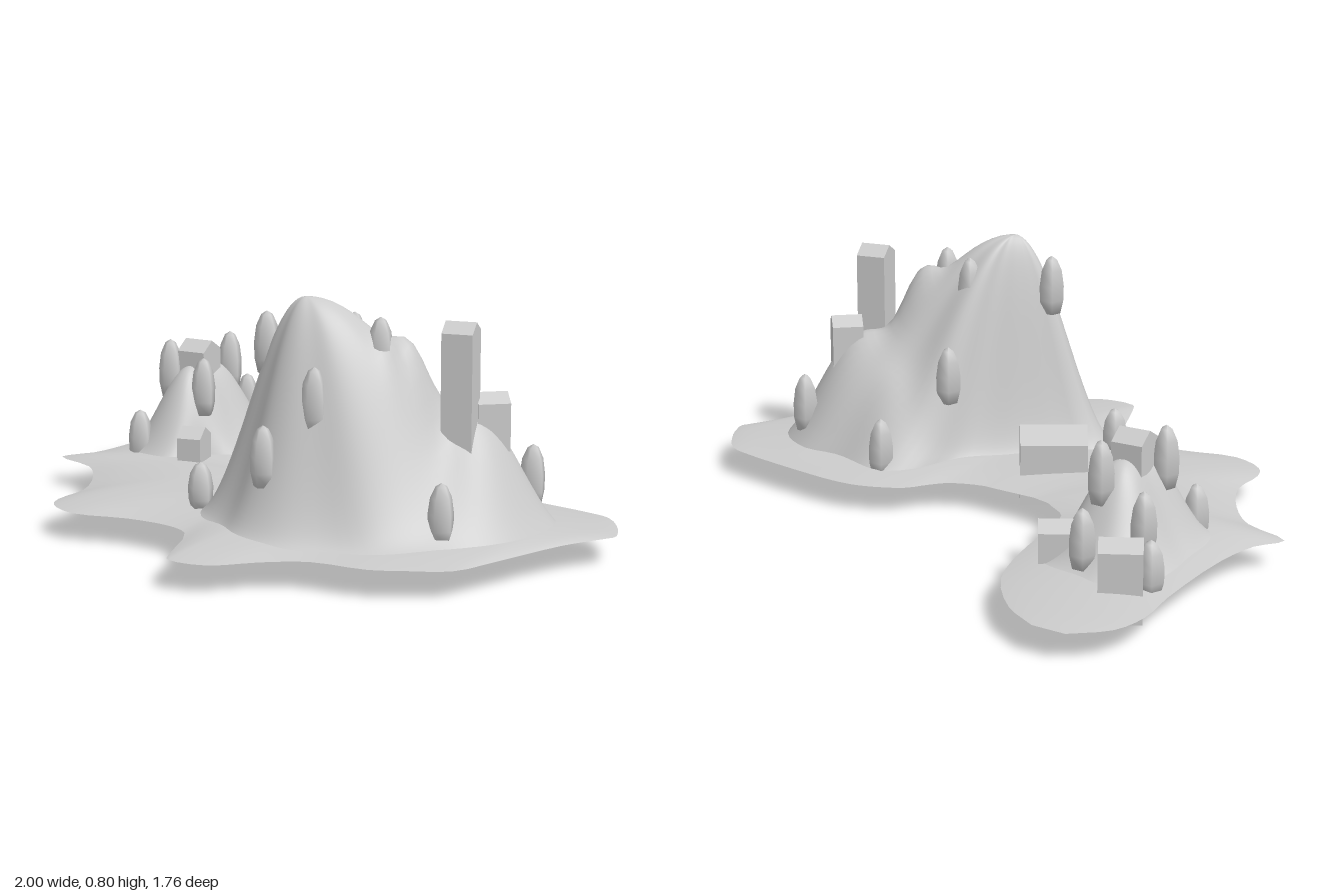
import * as THREE from 'three';

const material = new THREE.MeshStandardMaterial({ color: 0xcccccc, side: THREE.DoubleSide });

function addMesh(parent, geometry, name) {
  const mesh = new THREE.Mesh(geometry, material);
  mesh.name = name;
  parent.add(mesh);
  return mesh;
}

// Smooth surface from rows of points; wrap closes each row into a ring
function surface(rows, cols, wrap, point) {
  const positions = [], index = [];
  for (let i = 0; i < rows; i++)
    for (let j = 0; j < cols; j++) positions.push(...point(i, j));
  for (let i = 0; i < rows - 1; i++)
    for (let j = 0; j < (wrap ? cols : cols - 1); j++) {
      const k = (j + 1) % cols;
      const a = i * cols + j, b = a + cols, c = i * cols + k, d = c + cols;
      index.push(a, b, c, c, b, d);
    }
  const geometry = new THREE.BufferGeometry();
  geometry.setAttribute('position', new THREE.Float32BufferAttribute(positions, 3));
  geometry.setIndex(index);
  geometry.computeVertexNormals();
  return geometry;
}

// Strips across the land: outer shore x, z, then inner shore x, z
const SHORE = [
  [-0.80, -0.88, -0.69, -0.88], [-0.90, -0.785, -0.57, -0.81], [-0.93, -0.665, -0.44, -0.65],
  [-0.915, -0.505, -0.385, -0.47], [-0.915, -0.185, -0.355, -0.26], [-0.945, -0.035, -0.33, -0.135],
  [-1, 0.055, -0.27, -0.09], [-0.845, 0.115, -0.24, -0.07], [-0.75, 0.22, -0.20, -0.06],
  [-0.68, 0.365, -0.18, -0.055], [-0.68, 0.495, -0.15, -0.055], [-0.65, 0.56, -0.12, -0.055],
  [-0.54, 0.61, -0.09, -0.055], [-0.36, 0.57, -0.05, -0.055], [-0.21, 0.57, -0.02, -0.055],
  [-0.12, 0.61, 0.01, -0.055], [-0.03, 0.82, 0.11, -0.09], [0, 0.87, 0.16, -0.14],
  [0.13, 0.86, 0.21, -0.205], [0.24, 0.755, 0.34, -0.265], [0.36, 0.675, 0.44, -0.275],
  [0.545, 0.655, 0.57, -0.265], [0.64, 0.61, 0.70, -0.25], [0.76, 0.54, 0.80, -0.235],
  [0.82, 0.39, 0.89, -0.21], [0.91, 0.135, 0.97, -0.11], [1, -0.02, 1, -0.04],
];

// Thin, gently domed sheet of land
function landGeometry() {
  const cols = 13, steps = 3, last = (SHORE.length - 1) * steps;
  const [outer, inner] = [0, 2].map((k) =>
    new THREE.CatmullRomCurve3(SHORE.map((s) => new THREE.Vector3(s[k], 0, s[k + 1]))).getPoints(last));
  return surface(last + 1, cols, false, (i, j) => {
    const t = j / (cols - 1);
    const taper = Math.min(1, i / 12, (last - i) / 12);
    const p = outer[i].clone().lerp(inner[i], t);
    return [p.x, 0.091 + 0.034 * taper * Math.sin(Math.PI * t) ** 0.8, p.z];
  });
}

// Open shell falling from a peak to a base outline, with rounded spurs [x, z, height, width]
function mountainGeometry({ base, peak, foot, height, spurs }) {
  const rings = 28, sides = 72;
  const curve = new THREE.CatmullRomCurve3(base.map(([x, z]) => new THREE.Vector3(x, 0, z)), true);
  const rim = curve.getSpacedPoints(sides);
  return surface(rings + 1, sides, true, (i, j) => {
    const s = i / rings;
    const x = THREE.MathUtils.lerp(peak[0], rim[j].x, s);
    const z = THREE.MathUtils.lerp(peak[1], rim[j].z, s);
    let sum = (height * (0.5 + 0.5 * Math.cos(Math.PI * s) + 0.25 * s * s * (1 - s))) ** 4;
    for (const [sx, sz, h, w] of spurs) {
      const d2 = ((x - sx) ** 2 + (z - sz) ** 2) / (w * w);
      sum += (h * Math.exp(-d2) * (1 - s ** 8)) ** 4;
    }
    return [x, foot + sum ** 0.25, z];
  });
}

const LARGE = {
  base: [[-0.12, 0.30], [-0.20, 0.38], [-0.18, 0.46], [-0.05, 0.55], [0.06, 0.63], [0.20, 0.65],
    [0.38, 0.60], [0.54, 0.545], [0.68, 0.43], [0.79, 0.27], [0.83, 0.08], [0.80, -0.04],
    [0.68, -0.12], [0.54, -0.12], [0.35, -0.155], [0.26, -0.095], [0.17, 0.055], [0.02, 0.18]],
  peak: [0.15, 0.35], foot: 0.104, height: 0.695,
  spurs: [[0.43, 0.23, 0.50, 0.13], [0.60, 0.11, 0.36, 0.22], [0.43, 0.04, 0.25, 0.18]],
};
const SMALL = {
  base: [[-0.845, -0.26], [-0.83, -0.05], [-0.77, -0.005], [-0.62, 0.01], [-0.55, -0.10], [-0.46, -0.195],
    [-0.455, -0.37], [-0.495, -0.53], [-0.64, -0.585], [-0.74, -0.605], [-0.835, -0.53], [-0.85, -0.40]],
  peak: [-0.645, -0.25], foot: 0.1, height: 0.265,
  spurs: [[-0.65, -0.18, 0.255, 0.13], [-0.64, -0.33, 0.25, 0.14]],
};

// House with a gable roof, its ridge running along local x
function houseGeometry(length, width, height) {
  const w = width / 2, eave = height - width * 0.3;
  const shape = new THREE.Shape([[-w, 0], [w, 0], [w, eave], [0, height], [-w, eave]]
    .map(([x, y]) => new THREE.Vector2(x, y)));
  return new THREE.ExtrudeGeometry(shape, { depth: length, bevelEnabled: false })
    .translate(0, 0, -length / 2).rotateY(Math.PI / 2);
}

// x, z, bottom, top, length, width, turn
const HOUSES = [
  [-0.115, 0.165, 0.01, 0.255, 0.215, 0.15, 0.585],
  [0.585, 0.185, 0.32, 0.74, 0.095, 0.10, 0.25],
  [0.635, 0.085, 0.34, 0.515, 0.10, 0.095, 0.72],
  [-0.65, -0.25, 0.30, 0.475, 0.10, 0.11, 0.07],
  [-0.78, -0.545, 0.01, 0.26, 0.13, 0.105, 0.51],
  [-0.51, -0.46, 0.00, 0.23, 0.105, 0.10, 0.55],
  [-0.54, -0.055, 0.00, 0.23, 0.08, 0.105, 0.25],
];

// x, z, bottom, top
const TREES = [
  [-0.20, 0.405, 0.10, 0.255], [0.12, 0.545, 0.25, 0.44], [0.245, 0.46, 0.41, 0.615],
  [0.02, 0.365, 0.55, 0.745], [0.36, 0.27, 0.55, 0.745], [0.24, 0.22, 0.54, 0.74],
  [0.225, 0.07, 0.29, 0.48], [0.355, -0.125, 0.08, 0.27], [0.71, -0.05, 0.14, 0.335],
  [0.635, 0.385, 0.11, 0.30],
  [-0.85, -0.495, 0.08, 0.25], [-0.77, -0.40, 0.16, 0.35], [-0.625, -0.40, 0.28, 0.48],
  [-0.635, -0.52, 0.12, 0.31], [-0.72, -0.185, 0.28, 0.48], [-0.575, -0.165, 0.24, 0.435],
  [-0.755, -0.055, 0.08, 0.26],
];

export function createModel() {
  const model = new THREE.Group();
  model.name = 'islandVillage';

  addMesh(model, landGeometry(), 'land');
  addMesh(model, mountainGeometry(LARGE), 'largeMountain');
  addMesh(model, mountainGeometry(SMALL), 'smallMountain');

  const houses = new THREE.Group();
  houses.name = 'houses';
  for (const [x, z, y0, y1, length, width, turn] of HOUSES) {
    const house = addMesh(houses, houseGeometry(length, width, y1 - y0), 'house');
    house.position.set(x, y0, z);
    house.rotation.y = turn;
  }

  // Five-sided bullet-shaped trees
  const trees = new THREE.Group();
  trees.name = 'trees';
  const profile = [[0, 0], [0.03, 0.02], [0.04, 0.25], [0.041, 0.5], [0.034, 0.76], [0.018, 0.94], [0, 1]]
    .map(([r, y]) => new THREE.Vector2(r, y));
  const treeGeometry = new THREE.LatheGeometry(profile, 5);
  for (const [x, z, y0, y1] of TREES) {
    const tree = addMesh(trees, treeGeometry, 'tree');
    tree.position.set(x, y0, z);
    tree.scale.y = y1 - y0;
  }

  model.add(houses, trees);
  return model;
}
